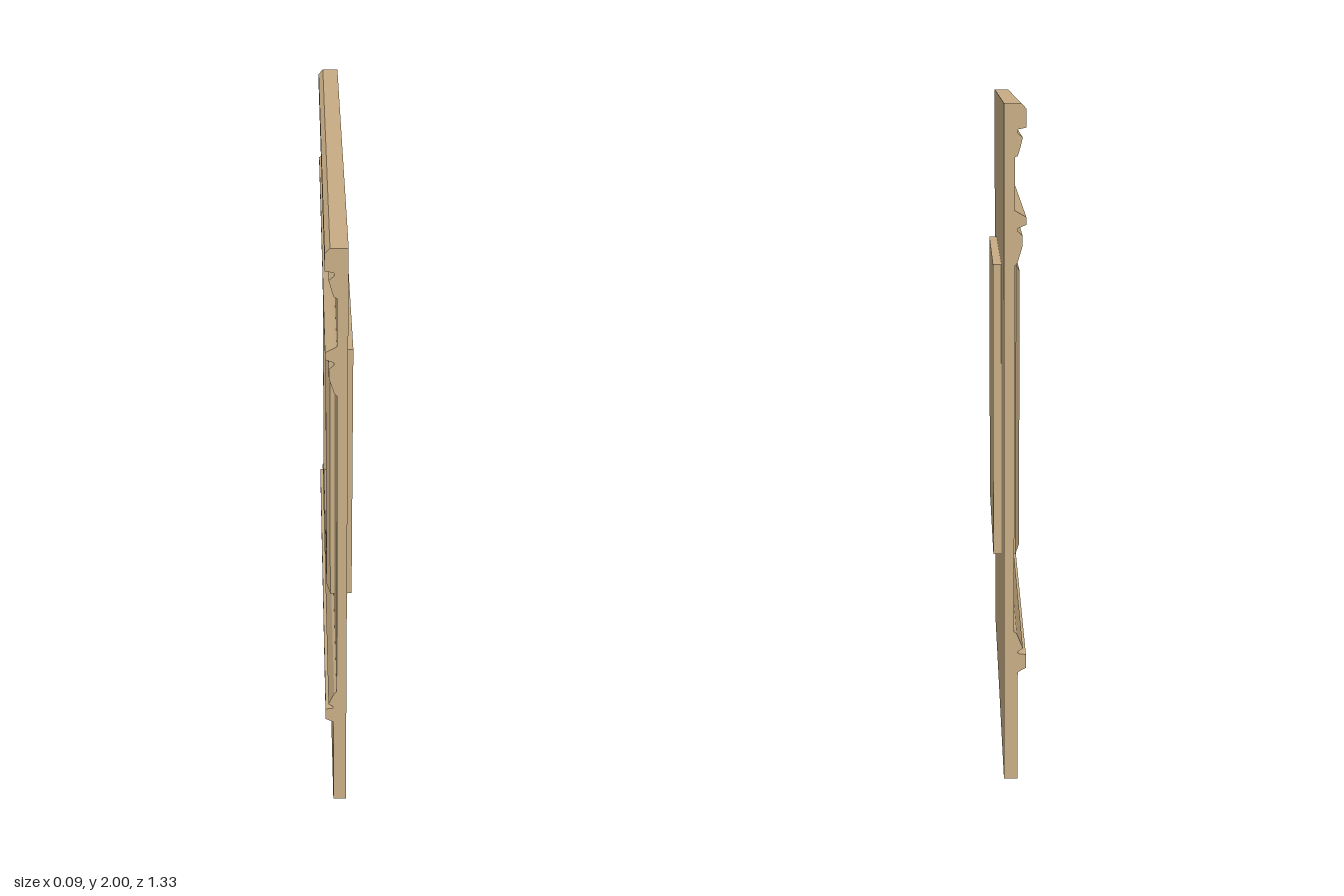
import * as THREE from 'three';

const WIDTH = 1.33;
const wood = new THREE.MeshStandardMaterial({ color: 0xc8ad85, flatShading: true });
const trim = new THREE.MeshStandardMaterial({ color: 0xcccccc, flatShading: true });
const dark = new THREE.MeshStandardMaterial({ color: 0x080808 });

function toShape(points) {
  return new THREE.Shape(points.map(([x, y]) => new THREE.Vector2(x, y)));
}

function rect(half, lo, hi) {
  return [[-half, lo], [half, lo], [half, hi], [-half, hi]];
}

// Profile in x/y run along z between two positions
function moulding(points, z0 = -WIDTH / 2, z1 = WIDTH / 2) {
  const geo = new THREE.ExtrudeGeometry(toShape(points), { depth: z1 - z0, bevelEnabled: false });
  return geo.translate(0, 0, z0);
}

// Rectangular loops [halfZ, yLow, yHigh, x], joined into a mitred frame facing -x
function mitredFrame(loops) {
  const pos = [];
  const corners = loops.map(([h, lo, hi, x]) => rect(h, lo, hi).map(([z, y]) => [x, y, z]));
  for (let i = 0; i < corners.length - 1; i++) {
    for (let k = 0; k < 4; k++) {
      const n = (k + 1) % 4;
      const a = corners[i][k], b = corners[i][n], c = corners[i + 1][n], d = corners[i + 1][k];
      pos.push(...a, ...b, ...c, ...a, ...c, ...d);
    }
  }
  const geo = new THREE.BufferGeometry();
  geo.setAttribute('position', new THREE.Float32BufferAttribute(pos, 3));
  geo.computeVertexNormals();
  return geo;
}

export function createModel() {
  const group = new THREE.Group();
  const add = (name, geo, mat = wood) => {
    const mesh = new THREE.Mesh(geo, mat);
    mesh.name = name;
    group.add(mesh);
    return mesh;
  };

  // Wall slab with the window opening
  const wall = toShape(rect(WIDTH / 2, 0, 2));
  wall.holes.push(new THREE.Path(rect(0.275, 0.675, 1.445).map(([x, y]) => new THREE.Vector2(x, y))));
  const slab = new THREE.ExtrudeGeometry(wall, { depth: 0.03, bevelEnabled: false });
  add('wallPanel', slab.rotateY(Math.PI / 2).translate(-0.01, 0, 0));

  // Cornice, picture rail and dado rail
  add('cornice', moulding([
    [-0.01, 2], [-0.028, 2], [-0.042, 1.985], [-0.042, 1.935], [-0.018, 1.93],
    [-0.018, 1.92], [-0.032, 1.908], [-0.022, 1.87], [-0.018, 1.858], [-0.01, 1.855]]));
  add('pictureRail', moulding([
    [-0.01, 1.71], [-0.018, 1.705], [-0.042, 1.692], [-0.042, 1.67], [-0.018, 1.66],
    [-0.018, 1.653], [-0.032, 1.64], [-0.032, 1.612], [-0.018, 1.565], [-0.01, 1.555]]));
  add('dadoRail', moulding([
    [-0.01, 0.472], [-0.018, 0.465], [-0.036, 0.42], [-0.022, 0.41], [-0.022, 0.403],
    [-0.045, 0.4], [-0.045, 0.358], [-0.022, 0.345], [-0.01, 0.345]]));

  // Raised base panels on both sides of the recessed middle
  const base = [[-0.01, 0.35], [-0.021, 0.35], [-0.021, 0], [-0.01, 0]];
  add('basePanelBack', moulding(base, -WIDTH / 2, -0.32));
  add('basePanelFront', moulding(base, 0.32, WIDTH / 2));

  // Window surround, inner trim, pane and the housing behind
  add('windowFrame', mitredFrame([
    [0.342, 0.602, 1.515, -0.01], [0.342, 0.602, 1.515, -0.024], [0.318, 0.626, 1.491, -0.036],
    [0.297, 0.648, 1.47, -0.036], [0.275, 0.675, 1.445, -0.01]]));
  add('windowTrim', mitredFrame([
    [0.275, 0.675, 1.445, -0.01], [0.275, 0.675, 1.445, -0.004],
    [0.26, 0.715, 1.42, -0.002], [0.26, 0.715, 1.42, 0.01]]), trim);
  const pane = new THREE.PlaneGeometry(0.52, 0.705).rotateY(-Math.PI / 2);
  add('windowPane', pane.translate(0.01, 1.0675, 0), dark);
  add('rearHousing', new THREE.BoxGeometry(0.025, 0.913, 0.684).translate(0.0325, 1.0585, 0));

  return group;
}
